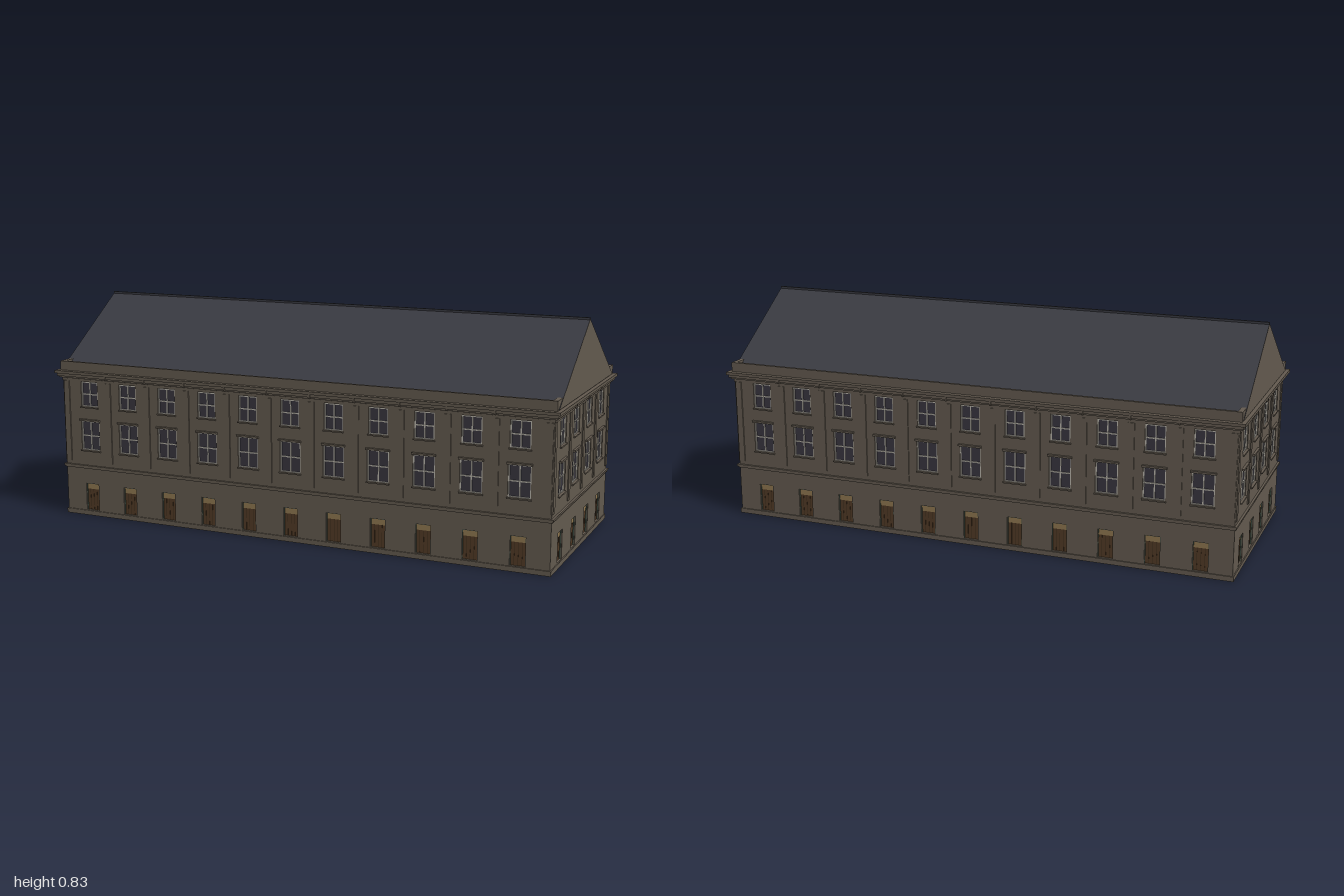
import * as THREE from 'three';

const mat = (name, color) => new THREE.MeshStandardMaterial({ name, color });

export function createModel() {
  const M = {
    wall: mat('stone wall', 0x635a4f),
    roof: mat('slate roof', 0x3a3b42),
    glass: mat('window glass', 0x38363f),
    frame: mat('window frame', 0xb9b5ab),
    door: mat('door wood', 0x513a25),
    groove: mat('door groove', 0x3b2a1b),
    transom: mat('door transom', 0x8f7750),
    doorFrame: mat('door frame', 0x3d4a40),
  };
  const HX = 0.975, HZ = 0.39, T = 0.012;
  const model = new THREE.Group();
  model.name = 'longBuilding';

  const box = (parent, name, m, w, h, d, x, y, z) => {
    const mesh = new THREE.Mesh(new THREE.BoxGeometry(w, h, d), m);
    mesh.name = name;
    mesh.position.set(x, y, z);
    parent.add(mesh);
    return mesh;
  };
  // Slab running round the whole building, standing out from the walls
  const course = (name, y0, y1, out) =>
    box(model, name, M.wall, 2 * (HX + out), y1 - y0, 2 * (HZ + out), 0, (y0 + y1) / 2, 0);

  // Solid core and horizontal mouldings
  course('core', 0.002, 0.56, -T);
  course('plinth', 0, 0.018, 0.004);
  course('beltLower', 0.187, 0.193, 0.005);
  course('beltUpper', 0.193, 0.2, 0.008);
  course('frieze', 0.531, 0.541, 0.004);
  course('corniceLower', 0.543, 0.549, 0.012);
  course('corniceMiddle', 0.549, 0.56, 0.018);
  course('corniceUpper', 0.56, 0.571, 0.025);

  // Openings: width, bottom, top
  const openings = [
    { w: 0.057, y0: 0.02, y1: 0.127, door: true },
    { w: 0.082, y0: 0.26, y1: 0.376 },
    { w: 0.074, y0: 0.432, y1: 0.53 },
  ];

  function windowUnit(g, x, { w, y0, y1 }) {
    const h = y1 - y0, yc = (y0 + y1) / 2, b = 0.004, z = -0.007;
    box(g, 'windowGlass', M.glass, w, h, 0.004, x, yc, -0.01);
    for (const s of [-1, 1]) {
      box(g, 'windowJamb', M.frame, b, h, 0.006, x + s * (w - b) / 2, yc, z);
      box(g, 'windowRail', M.frame, w, b, 0.006, x, yc + s * (h - b) / 2, z);
    }
    box(g, 'windowMullion', M.frame, b, h, 0.006, x, yc, z);
    box(g, 'windowCrossbar', M.frame, w, b, 0.006, x, yc, z);
    box(g, 'windowSill', M.wall, w + 0.006, 0.005, 0.01, x, y0 - 0.002, 0.001);
  }

  function doorUnit(g, x, { w, y0, y1 }) {
    const split = 0.104, b = 0.002;
    box(g, 'doorLeaf', M.door, w, split - y0, 0.004, x, (split + y0) / 2, -0.01);
    box(g, 'doorTransom', M.transom, w, y1 - split, 0.005, x, (y1 + split) / 2, -0.0095);
    for (const s of [-1, 0, 1])
      box(g, 'doorGroove', M.groove, 0.0015, split - y0, 0.001, x + s * w / 4, (split + y0) / 2, -0.0078);
    for (const s of [-1, 1])
      box(g, 'doorJamb', M.doorFrame, b, y1 - y0, 0.007, x + s * (w - b) / 2, (y0 + y1) / 2, -0.007);
    box(g, 'doorHead', M.doorFrame, w, b, 0.007, x, y1 - b / 2, -0.007);
  }

  // One facade, facing +z with its outer face at z = 0
  function facade(name, half, count, pitch) {
    const g = new THREE.Group();
    g.name = name;
    const shape = new THREE.Shape();
    const rect = (p, x0, y0, x1, y1) =>
      p.moveTo(x0, y0).lineTo(x1, y0).lineTo(x1, y1).lineTo(x0, y1).closePath();
    rect(shape, -half, 0, half, 0.56);
    for (let i = 0; i < count; i++) {
      const x = (i - (count - 1) / 2) * pitch;
      for (const o of openings) {
        const hole = new THREE.Path();
        rect(hole, x - o.w / 2, o.y0, x + o.w / 2, o.y1);
        shape.holes.push(hole);
        (o.door ? doorUnit : windowUnit)(g, x, o);
      }
      // Hood over the main floor window
      box(g, 'windowHood', M.wall, 0.09, 0.007, 0.016, x, 0.38, 0.001);
      // Pilaster and bracket between bays
      if (i < count - 1) {
        const px = x + pitch / 2;
        box(g, 'pilaster', M.wall, 0.024, 0.315, 0.006, px, 0.3725, 0.001);
        box(g, 'corniceBracket', M.wall, 0.005, 0.016, 0.022, px, 0.552, 0.011);
      }
    }
    for (const s of [-1, 1])
      box(g, 'cornerPilaster', M.wall, 0.024, 0.315, 0.006, s * (half - 0.014), 0.3725, 0.001);
    const wall = new THREE.Mesh(
      new THREE.ExtrudeGeometry(shape, { depth: T, bevelEnabled: false }), M.wall);
    wall.name = 'facadeWall';
    wall.position.z = -T;
    g.add(wall);
    model.add(g);
    return g;
  }

  for (const s of [1, -1]) {
    const long = facade(s > 0 ? 'frontFacade' : 'backFacade', HX, 11, 0.172);
    long.position.z = s * HZ;
    long.rotation.y = s > 0 ? 0 : Math.PI;
    const end = facade(s > 0 ? 'leftFacade' : 'rightFacade', HZ, 4, 0.181);
    end.position.x = s * HX;
    end.rotation.y = s * Math.PI / 2;
    // Low parapet around the roof
    box(model, 'parapetLong', M.wall, 1.97, 0.036, 0.012, 0, 0.588, s * 0.389);
    box(model, 'parapetEnd', M.wall, 0.018, 0.036, 0.778, s * 0.976, 0.588, 0);
  }

  // Gable roof: wall colour on the ends, slate on the slopes
  const gable = new THREE.Shape();
  gable.moveTo(-0.383, 0.573).lineTo(0.383, 0.573).lineTo(0, 0.83).closePath();
  const roof = new THREE.Mesh(
    new THREE.ExtrudeGeometry(gable, { depth: 1.974, bevelEnabled: false }), [M.wall, M.roof]);
  roof.name = 'gableRoof';
  roof.rotation.y = Math.PI / 2;
  roof.position.x = -0.987;
  model.add(roof);
  box(model, 'ridgeCap', M.roof, 1.974, 0.009, 0.01, 0, 0.83, 0);

  return model;
}
